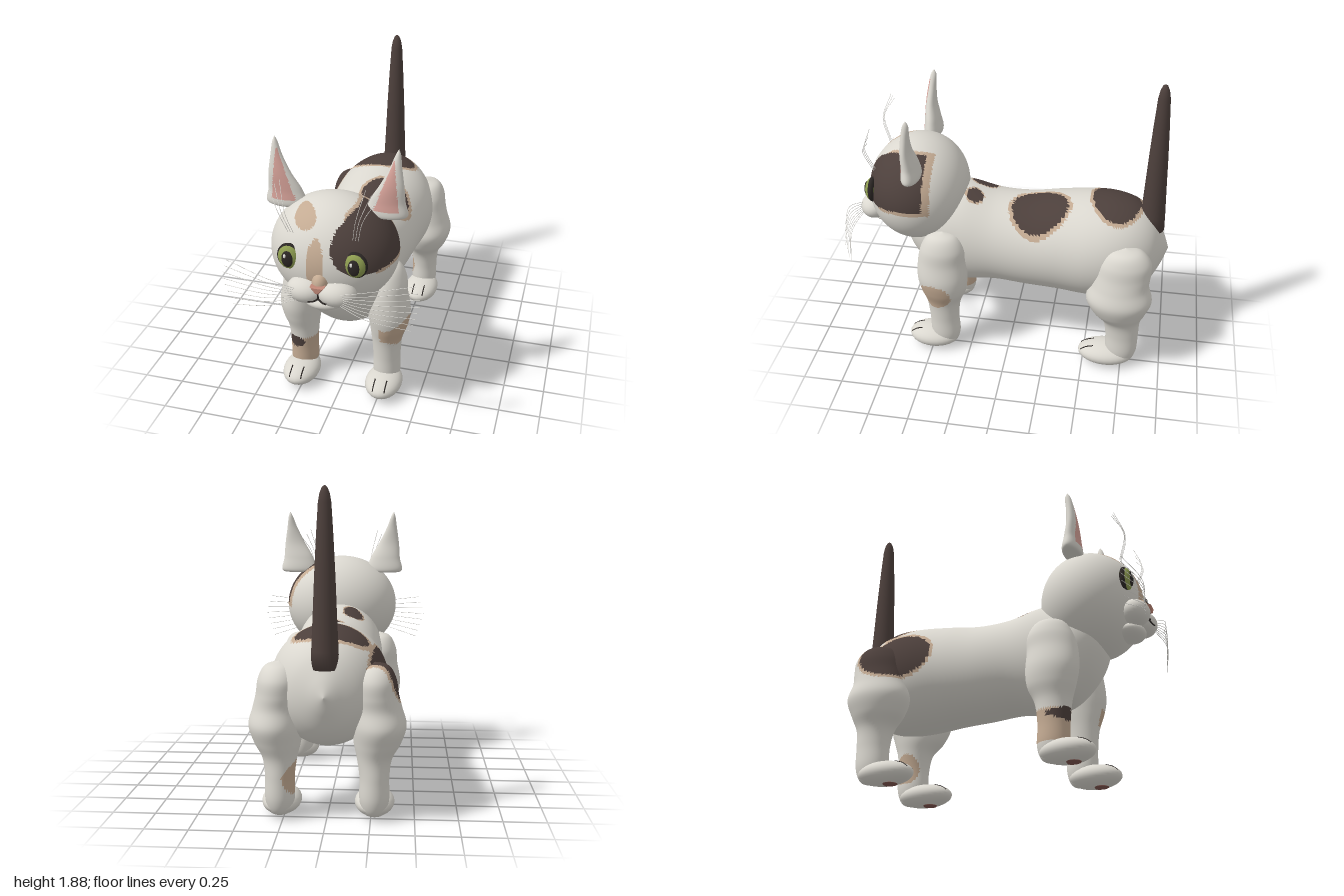
import * as THREE from 'three';

const mat = (name, color) => Object.assign(new THREE.MeshStandardMaterial({ color }), { name });
const M = {
  coat: mat('coat', 0xdbd8d0), dark: mat('darkPatch', 0x4d403c), tan: mat('tanPatch', 0xc4ab93),
  pink: mat('innerEar', 0xd6a299), iris: mat('iris', 0x8d9c50), black: mat('pupil', 0x2c2725),
  nose: mat('nose', 0xc08878), pad: mat('pawPad', 0x80564f), white: mat('whisker', 0xf2f0ea),
};
const COAT = 0, DARK = 1, TAN = 2, PINK = 3;
const FUR = [M.coat, M.dark, M.tan, M.pink];

// Closed loft of ellipses; each station is [along, centre1, centre2, radius1, radius2]
function loft(axis, stations, rings, sides) {
  const mid = new THREE.CatmullRomCurve3(stations.map(s => new THREE.Vector3(s[0], s[1], s[2])), false, 'catmullrom');
  const rad = new THREE.CatmullRomCurve3(stations.map(s => new THREE.Vector3(s[3], s[4], 0)), false, 'catmullrom');
  const pos = [], idx = [];
  for (let i = 0; i <= rings; i++) {
    const c = mid.getPoint(i / rings), r = rad.getPoint(i / rings);
    for (let j = 0; j < sides; j++) {
      const a = j / sides * Math.PI * 2;
      const u = c.y + Math.max(r.x, 0) * Math.cos(a), v = Math.max(r.y, 0) * Math.sin(a);
      if (axis === 'z') pos.push(u, c.z + v, c.x); else pos.push(u, c.x, c.z - v);
      if (i < rings) {
        const p = i * sides + j, q = i * sides + (j + 1) % sides;
        idx.push(p, p + sides, q, q, p + sides, q + sides);
      }
    }
  }
  const g = new THREE.BufferGeometry();
  g.setAttribute('position', new THREE.Float32BufferAttribute(pos, 3));
  g.setIndex(idx);
  g.computeVertexNormals();
  return g;
}

// Sort triangles into fur colour groups by the position of their centre
function paint(g, rule) {
  const buckets = FUR.map(() => []), p = g.attributes.position, ix = g.index.array;
  const v = new THREE.Vector3(), c = new THREE.Vector3();
  for (let i = 0; i < ix.length; i += 3) {
    c.set(0, 0, 0);
    for (let k = 0; k < 3; k++) c.add(v.fromBufferAttribute(p, ix[i + k]));
    c.divideScalar(3);
    buckets[rule(c.x, c.y, c.z)].push(ix[i], ix[i + 1], ix[i + 2]);
  }
  g.setIndex(buckets.flat());
  g.clearGroups();
  let start = 0;
  buckets.forEach((b, k) => { if (b.length) g.addGroup(start, b.length, k); start += b.length; });
  return g;
}

const inEllipse = (a, b, ca, cb, ra, rb) => ((a - ca) / ra) ** 2 + ((b - cb) / rb) ** 2 < 1;

function add(parent, name, geometry, material) {
  const m = new THREE.Mesh(geometry, material);
  m.name = name;
  parent.add(m);
  return m;
}
function ball(parent, name, material, c, r, n = 28) {
  const m = add(parent, name, new THREE.SphereGeometry(1, n, Math.round(n * 0.7)), material);
  m.position.set(...c);
  m.scale.set(...r);
}
function strand(parent, name, material, pts, radius) {
  const curve = new THREE.CatmullRomCurve3(pts.map(p => new THREE.Vector3(...p)));
  add(parent, name, new THREE.TubeGeometry(curve, 12, radius, 5), material);
}

// Flank patch runs over the body and the right thigh
const flank = (x, y, z) => x > -0.2 ? COAT
  : inEllipse(y, z, 0.82, -0.59, 0.15, 0.23) ? DARK
  : inEllipse(y, z, 0.82, -0.59, 0.17, 0.25) ? TAN : COAT;

// Back spots: [x, z, radius x, radius z, border]
const SPOTS = [[0.1, -0.18, 0.15, 0.175, 0.022], [-0.02, -0.65, 0.21, 0.15, 0.022],
  [-0.1, 0.2, 0.062, 0.082, 0.01], [0.08, 0.235, 0.053, 0.05, 0.01]];
function bodyRule(x, y, z) {
  if (y > 0.85) {
    for (const [cx, cz, rx, rz] of SPOTS) if (inEllipse(x, z, cx, cz, rx, rz)) return DARK;
    for (const [cx, cz, rx, rz, b] of SPOTS) if (inEllipse(x, z, cx, cz, rx + b, rz + b)) return TAN;
  }
  return flank(x, y, z);
}

function headRule(x, y, z) {
  const u = x > 0.22 ? 0.22 + (x - 0.22) * 0.6 : x;
  if (z > 0.515 && inEllipse(u, y, 0.22, 1.23, 0.165, 0.165)) return DARK;
  if (z > 0.47 && z < 0.8 && x > 0.1 && inEllipse(u, y, 0.22, 1.23, 0.18, 0.185)) return TAN;
  if (z > 0.6 && inEllipse(x, y, -0.03, 1.11, 0.05, 0.155)) return TAN;
  if (z > 0.6 && inEllipse(x, y, -0.12, 1.335, 0.07, 0.047)) return TAN;
  return COAT;
}

function earRule(x, y, z) {
  const ax = Math.abs(x), outer = 0.375 - (y - 1.31) * 0.1, inner = 0.225 + (y - 1.35) * 0.36;
  return z > 0.585 && y > 1.35 && y < 1.65 && ax > inner && ax < outer ? PINK : COAT;
}

function frontLegRule(x, y, z) {
  if (x > 0) return x > 0.25 && z > 0.35 && inEllipse(y, z, 0.47, 0.46, 0.1, 0.11) ? TAN : COAT;
  if (z > 0.4 && inEllipse(x, y, -0.3, 0.29, 0.062, 0.04)) return DARK;
  return y > 0.13 && y < 0.32 ? TAN : COAT;
}
const hindLegRule = (x, y, z) => x < 0 ? flank(x, y, z)
  : x < 0.25 && inEllipse(y, z, 0.25, -0.76, 0.1, 0.09) ? TAN : COAT;

const FRONT_LEG = [[0.91, 0.27, 0.41, 0, 0], [0.88, 0.27, 0.41, 0.07, 0.09], [0.8, 0.265, 0.41, 0.115, 0.14],
  [0.7, 0.265, 0.42, 0.125, 0.155], [0.58, 0.28, 0.42, 0.13, 0.16], [0.48, 0.28, 0.415, 0.118, 0.145],
  [0.38, 0.27, 0.42, 0.095, 0.11], [0.25, 0.27, 0.42, 0.085, 0.095], [0.12, 0.27, 0.415, 0.085, 0.095],
  [0.04, 0.27, 0.42, 0.06, 0.07], [0.02, 0.27, 0.42, 0, 0]];
const HIND_LEG = [[0.915, 0.27, -0.73, 0, 0], [0.89, 0.27, -0.73, 0.08, 0.1], [0.82, 0.27, -0.73, 0.12, 0.16],
  [0.73, 0.275, -0.72, 0.13, 0.175], [0.65, 0.285, -0.71, 0.14, 0.18], [0.55, 0.295, -0.71, 0.155, 0.205],
  [0.45, 0.285, -0.715, 0.135, 0.17], [0.36, 0.27, -0.735, 0.1, 0.12], [0.25, 0.27, -0.745, 0.085, 0.105],
  [0.12, 0.27, -0.745, 0.085, 0.1], [0.04, 0.27, -0.74, 0.06, 0.07], [0.02, 0.27, -0.74, 0, 0]];
const EAR = [[1.715, 0.356, 0.572, 0, 0], [1.68, 0.353, 0.575, 0.015, 0.018], [1.6, 0.343, 0.585, 0.036, 0.026],
  [1.5, 0.325, 0.59, 0.068, 0.035], [1.4, 0.3, 0.58, 0.1, 0.048], [1.31, 0.295, 0.575, 0.115, 0.055],
  [1.3, 0.29, 0.575, 0, 0]];
const mirror = (stations, s) => stations.map(([t, c1, ...rest]) => [t, c1 * s, ...rest]);

function addLeg(root, name, s, stations, rule, pawZ, pawR) {
  const leg = new THREE.Group();
  leg.name = name;
  root.add(leg);
  add(leg, 'leg', paint(loft('y', mirror(stations, s), 72, 44), rule), FUR);
  const x = 0.27 * s;
  ball(leg, 'paw', M.coat, [x, 0.08, pawZ], [0.115, 0.072, pawR]);
  ball(leg, 'pawPad', M.pad, [x, 0.014, pawZ + 0.03], [0.045, 0.008, 0.05], 16);
  // Toe creases follow the front of the paw
  for (const dx of [-0.037, 0.037]) {
    strand(leg, 'toeLine', M.black, [0.14, 0.125, 0.1].map(y =>
      [x + dx, y, pawZ + pawR * Math.sqrt(1 - (dx / 0.115) ** 2 - ((y - 0.08) / 0.072) ** 2)]), 0.004);
  }
}

function addEye(head, s) {
  const eye = new THREE.Group();
  eye.name = s > 0 ? 'leftEye' : 'rightEye';
  eye.position.set(0.19 * s, 1.13, 0.865);
  head.add(eye);
  ball(eye, 'eyeRim', M.black, [0, 0, -0.004], [0.071, 0.081, 0.03]);
  ball(eye, 'iris', M.iris, [0, 0, 0], [0.064, 0.074, 0.042]);
  ball(eye, 'pupil', M.black, [0, 0, 0.032], [0.034, 0.05, 0.015], 24);
  ball(eye, 'highlight', M.white, [-0.012, 0.022, 0.043], [0.009, 0.013, 0.006], 12);
}

export function createModel() {
  const root = new THREE.Group();
  root.name = 'cat';

  // Body
  add(root, 'body', paint(loft('z', [[0.7, 0, 0.85, 0, 0], [0.66, 0, 0.85, 0.16, 0.14], [0.58, 0, 0.82, 0.235, 0.245],
    [0.45, 0, 0.78, 0.28, 0.32], [0.3, 0, 0.768, 0.29, 0.342], [0.1, 0, 0.755, 0.29, 0.305],
    [-0.1, 0, 0.745, 0.305, 0.305], [-0.3, 0, 0.755, 0.325, 0.322], [-0.5, 0, 0.757, 0.345, 0.34],
    [-0.65, 0, 0.757, 0.33, 0.34], [-0.78, 0, 0.755, 0.28, 0.31], [-0.88, 0, 0.76, 0.2, 0.23],
    [-0.95, 0, 0.76, 0.085, 0.11], [-0.99, 0, 0.76, 0, 0]], 130, 112), bodyRule), FUR);

  // Tail
  const profile = [[0, 0.9], [0.078, 0.9], [0.075, 1], [0.066, 1.2], [0.058, 1.4], [0.047, 1.62], [0.036, 1.8],
    [0.027, 1.85], [0.014, 1.88], [0, 1.89]].map(p => new THREE.Vector2(...p));
  add(root, 'tail', new THREE.LatheGeometry(profile, 32), M.dark).position.z = -0.875;

  // Head
  const head = new THREE.Group();
  head.name = 'head';
  root.add(head);
  const skull = new THREE.SphereGeometry(1, 120, 84).scale(0.375, 0.33, 0.315).translate(0, 1.08, 0.605);
  add(head, 'skull', paint(skull, headRule), FUR);
  ball(head, 'noseBridge', M.tan, [0, 1.01, 0.89], [0.05, 0.07, 0.065]);
  ball(head, 'chin', M.coat, [0, 0.862, 0.83], [0.12, 0.048, 0.095]);
  const tri = new THREE.Shape([[-0.032, 0.014], [0.032, 0.014], [0.006, -0.016], [-0.006, -0.016]].map(p => new THREE.Vector2(...p)));
  add(head, 'nose', new THREE.ExtrudeGeometry(tri, { depth: 0.03, bevelSize: 0.007, bevelThickness: 0.01, bevelSegments: 3 }), M.nose)
    .position.set(0, 1.0, 0.935);
  strand(head, 'mouthLine', M.black, [[0, 0.985, 0.96], [0, 0.96, 0.952], [0, 0.935, 0.95]], 0.005);

  for (const s of [1, -1]) {
    const side = s > 0 ? 'left' : 'right';
    add(head, side + 'Ear', paint(loft('y', mirror(EAR, s), 56, 44), earRule), FUR);
    addEye(head, s);
    ball(head, side + 'Muzzle', M.coat, [0.088 * s, 0.95, 0.885], [0.112, 0.077, 0.092]);
    strand(head, side + 'Mouth', M.black, [[0, 0.935, 0.95], [0.025 * s, 0.92, 0.96], [0.055 * s, 0.918, 0.969]], 0.005);
    // Cheek whiskers fan outward, brow whiskers curve up
    for (let i = 0; i < 8; i++) {
      const k = i / 7, y = 0.915 + 0.06 * k, endY = 0.8 + 0.29 * k, reach = 0.58 - 0.1 * Math.abs(k - 0.6);
      strand(head, side + 'Whisker', M.white,
        [[0.11 * s, y, 0.95], [0.28 * s, (y + endY) / 2 + 0.012, 0.99], [reach * s, endY, 0.93]], 0.0016);
    }
    for (let i = 0; i < 3; i++) {
      strand(head, side + 'BrowWhisker', M.white, [[(0.17 + 0.015 * i) * s, 1.27, 0.84],
        [(0.2 + 0.02 * i) * s, 1.42, 0.885], [(0.24 + 0.03 * i) * s, 1.58 - 0.03 * i, 0.83]], 0.0016);
    }

    // Legs
    addLeg(root, side + 'FrontLeg', s, FRONT_LEG, frontLegRule, 0.495, 0.165);
    addLeg(root, side + 'HindLeg', s, HIND_LEG, hindLegRule, -0.65, 0.18);
  }
  return root;
}
